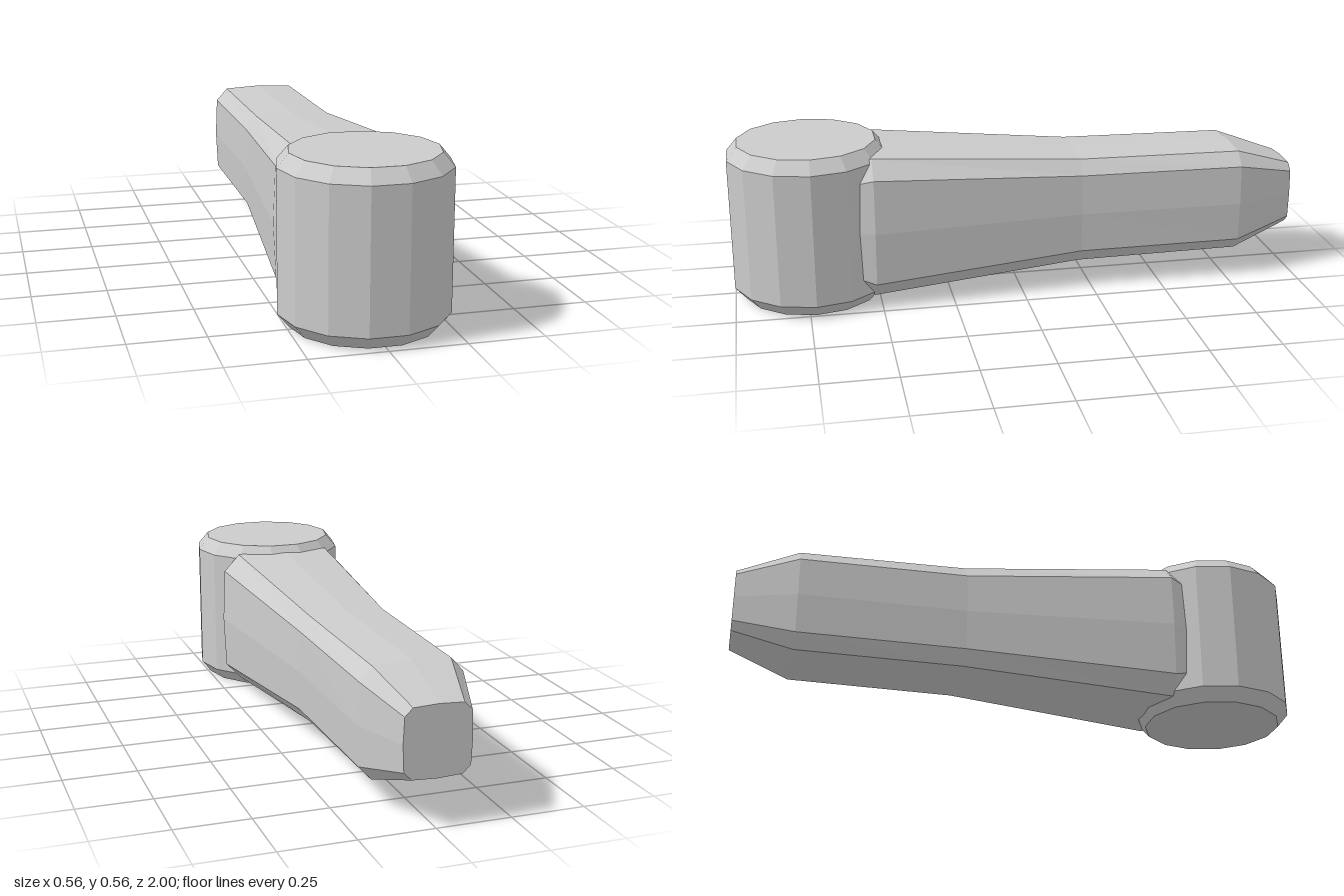
import * as THREE from 'three';

const material = new THREE.MeshStandardMaterial({ color: 0xcccccc, flatShading: true });
const SIDES = 14, CENTER_Y = 0.278, HEAD_Z = 0.729;

// Loft twelve-sided rings along z, closing both ends with fans
function loft(rings) {
  const positions = [], index = [], n = rings[0].length;
  rings.forEach(ring => ring.forEach(p => positions.push(...p)));
  for (let r = 0; r < rings.length - 1; r++) {
    for (let i = 0; i < n; i++) {
      const a = r * n + i, b = r * n + (i + 1) % n;
      index.push(a, b, b + n, a, b + n, a + n);
    }
  }
  const last = (rings.length - 1) * n;
  for (let i = 1; i < n - 1; i++) {
    index.push(0, i + 1, i);
    index.push(last, last + i, last + i + 1);
  }
  const geometry = new THREE.BufferGeometry();
  geometry.setAttribute('position', new THREE.Float32BufferAttribute(positions, 3));
  geometry.setIndex(index);
  const flat = geometry.toNonIndexed();
  flat.computeVertexNormals();
  return flat;
}

// Chamfered, slightly bulging rectangle: half width, side-corner half width,
// top-corner half width, half height, top-corner and side-corner heights
function ring({ z, w, top, h, side }) {
  const ws = w * 0.965, ht = h * 0.965;
  return [
    [w, 0], [ws, side], [top, ht], [0, h], [-top, ht], [-ws, side],
    [-w, 0], [-ws, -side], [-top, -ht], [0, -h], [top, -ht], [ws, -side],
  ].map(([x, y]) => [x, CENTER_Y + y, z]);
}

export function createModel() {
  const group = new THREE.Group();

  // Upright head with chamfered rims
  const headProfile = [[0, 0], [0.24, 0], [0.278, 0.045], [0.278, 0.511], [0.24, 0.556], [0, 0.556]]
    .map(([x, y]) => new THREE.Vector2(x, y));
  const head = new THREE.Mesh(new THREE.LatheGeometry(headProfile, SIDES, Math.PI / 2), material);
  head.name = 'head';
  head.position.z = HEAD_Z;
  group.add(head);

  // Tapered handle, from the blunt tip to the end buried in the head
  const sections = [
    { z: -1.0, w: 0.112, top: 0.082, h: 0.117, side: 0.087 },
    { z: -0.79, w: 0.178, top: 0.13, h: 0.19, side: 0.137 },
    { z: -0.21, w: 0.178, top: 0.133, h: 0.196, side: 0.14 },
    { z: 0.52, w: 0.241, top: 0.175, h: 0.257, side: 0.187 },
    { z: 0.72, w: 0.16, top: 0.115, h: 0.18, side: 0.13 },
  ];
  const handle = new THREE.Mesh(loft(sections.map(ring)), material);
  handle.name = 'handle';
  group.add(handle);

  return group;
}
